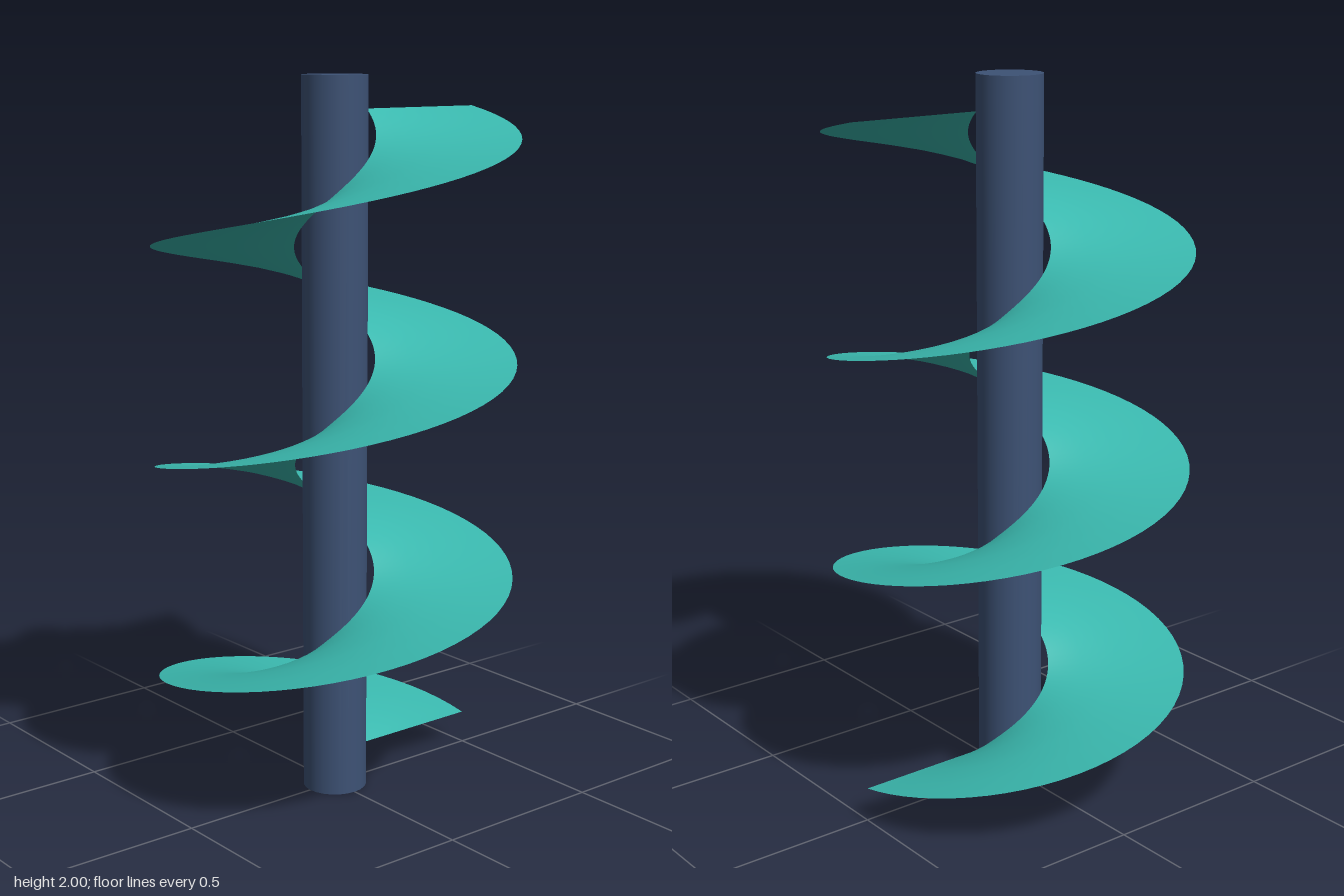
import * as THREE from 'three';

const TURNS = 3, STEPS = 64 * TURNS, RINGS = 4;
const INNER = 0.11, OUTER = 0.497, BOTTOM = 0.095, TOP = 1.908;

// Thin ribbon swept around the y axis, rising from +x towards -z
function helicoidGeometry() {
  const positions = [], indices = [];
  for (let i = 0; i <= STEPS; i++) {
    const f = i / STEPS, a = f * TURNS * Math.PI * 2;
    for (let j = 0; j <= RINGS; j++) {
      const r = THREE.MathUtils.lerp(INNER, OUTER, j / RINGS);
      positions.push(r * Math.cos(a), THREE.MathUtils.lerp(BOTTOM, TOP, f), -r * Math.sin(a));
      if (i < STEPS && j < RINGS) {
        const p = i * (RINGS + 1) + j, q = p + RINGS + 1;
        indices.push(p, p + 1, q + 1, p, q + 1, q);
      }
    }
  }
  const geometry = new THREE.BufferGeometry();
  geometry.setAttribute('position', new THREE.Float32BufferAttribute(positions, 3));
  geometry.setIndex(indices);
  geometry.computeVertexNormals();
  return geometry;
}

export function createModel() {
  const model = new THREE.Group();
  model.name = 'spiralScrew';

  // Central shaft
  const shaft = new THREE.Mesh(
    new THREE.CylinderGeometry(0.09, 0.09, 2, 24),
    new THREE.MeshStandardMaterial({ color: 0x3d5275 })
  );
  shaft.name = 'shaft';
  shaft.position.y = 1;

  // Spiral blade, standing slightly clear of the shaft
  const blade = new THREE.Mesh(
    helicoidGeometry(),
    new THREE.MeshStandardMaterial({ color: 0x3ab8ae, side: THREE.DoubleSide })
  );
  blade.name = 'spiralBlade';

  model.add(shaft, blade);
  return model;
}
